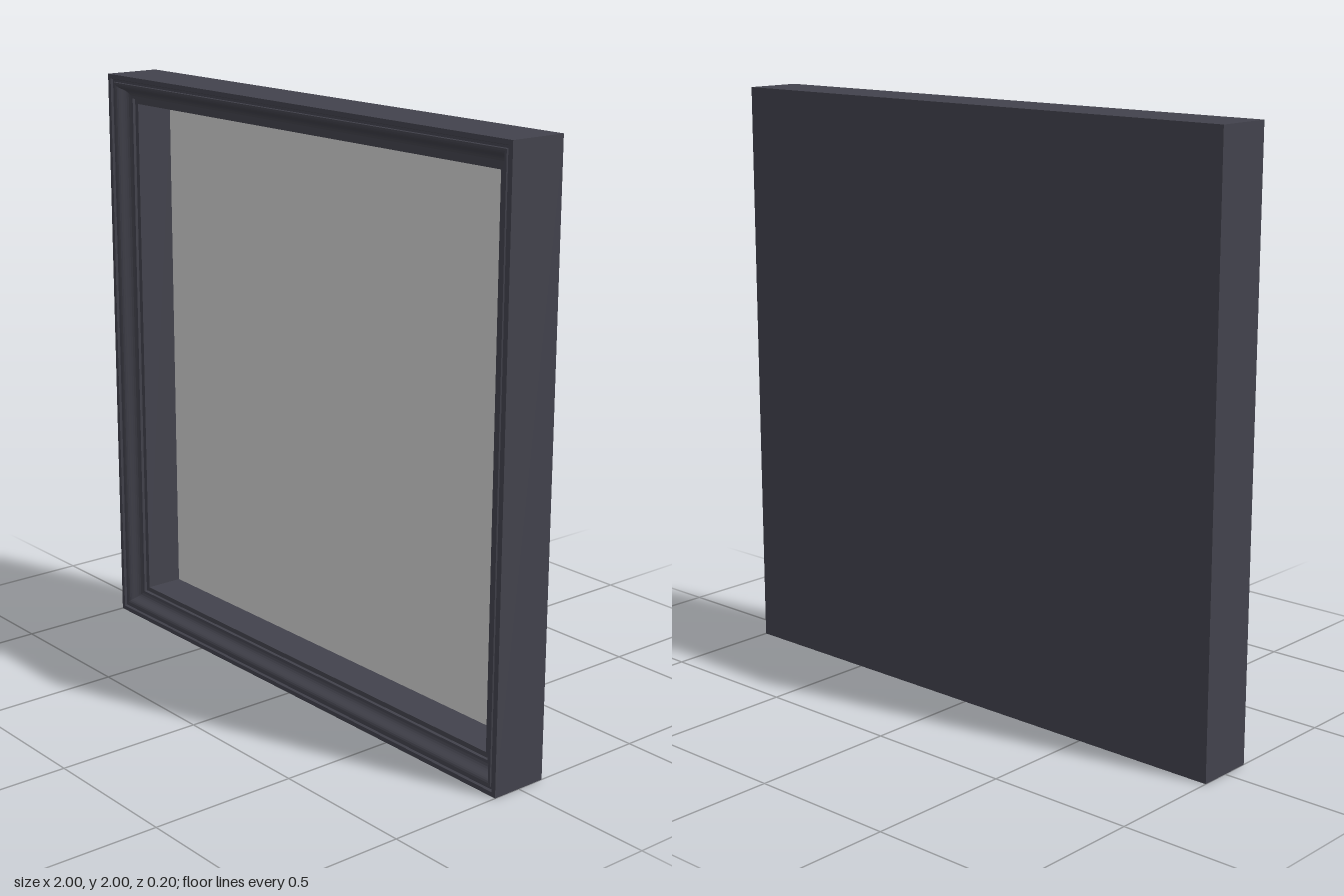
import * as THREE from 'three';

export function createModel() {
  const model = new THREE.Group();
  const frameMaterial = new THREE.MeshStandardMaterial({ color: 0x42424c });
  frameMaterial.name = 'dark slate';
  const paneMaterial = new THREE.MeshStandardMaterial({ color: 0xcccccc });
  paneMaterial.name = 'light grey';

  // Moulding section as [distance from centre, depth], from the back round to the recess
  const section = [
    [0, -0.1], [1, -0.1], [1, 0.1],
    [0.985, 0.1], [0.982, 0.092], [0.974, 0.092], // outer lip and groove
  ];
  // Rounded bead flowing into a hollow
  const ogee = new THREE.CubicBezierCurve(
    new THREE.Vector2(0.972, 0.096), new THREE.Vector2(0.945, 0.098),
    new THREE.Vector2(0.955, 0.055), new THREE.Vector2(0.918, 0.055));
  for (const p of ogee.getPoints(10)) section.push([p.x, p.y]);
  // Inner step and deep reveal
  section.push([0.916, 0.046], [0.9, 0.045], [0.9, -0.095]);

  // A four-sided lathe gives the square frame with mitred corners and a closed back
  const points = section.map(([r, z]) => new THREE.Vector2(r * Math.SQRT2, z));
  const frameGeometry = new THREE.LatheGeometry(points, 4, Math.PI / 4)
    .rotateX(Math.PI / 2)
    .toNonIndexed();
  frameGeometry.computeVertexNormals();
  const frame = new THREE.Mesh(frameGeometry, frameMaterial);
  frame.name = 'frame';
  frame.position.y = 1;
  model.add(frame);

  // Recessed pane
  const pane = new THREE.Mesh(new THREE.BoxGeometry(1.8, 1.8, 0.006), paneMaterial);
  pane.name = 'pane';
  pane.position.set(0, 1, -0.093);
  model.add(pane);

  return model;
}
